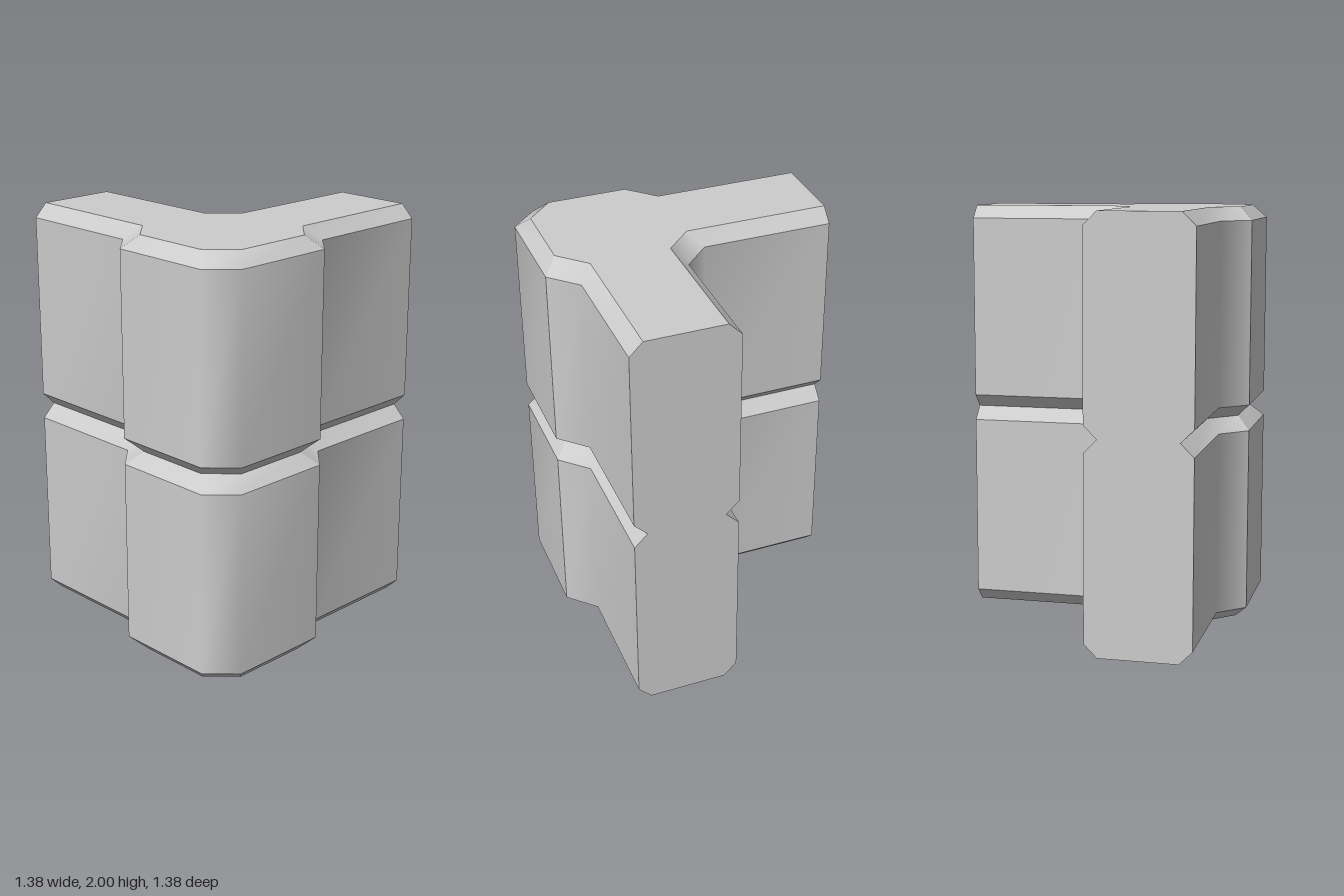
import * as THREE from 'three';
import { mergeGeometries } from 'three/addons/utils/BufferGeometryUtils.js';

// Plan corners as [outer x, outer z, inner x, inner z]; the inner ring is the bevelled edge.
// Each run is shaded smoothly along its length and creased where it meets the next.
const E = 0.6875, B = 0.0625, W = 0.5625;
const RUNS = {
  backArmSide: [[W, -E, 0.5, -E], [W, -B, 0.5, 0], [E, B, 0.625, 0.125]],
  cornerPost: [[E, B, 0.625, 0.125], [E, W, 0.625, 0.5], [W, E, 0.5, 0.625], [B, E, 0.125, 0.625]],
  sideArmFront: [[B, E, 0.125, 0.625], [-B, W, 0, 0.5], [-E, W, -E, 0.5]],
  sideArmEnd: [[-E, W, -E, 0.5], [-E, B, -E, 0.125]],
  innerCorner: [[-E, B, -E, 0.125], [-B, B, 0, 0.125], [B, -B, 0.125, 0], [B, -E, 0.125, -E]],
  backArmEnd: [[B, -E, 0.125, -E], [W, -E, 0.5, -E]],
};

// Heights of the profile: bevelled block, groove, bevelled block
const LEVELS = [[0, 'in'], [B, 'out'], [1 - B, 'out'], [1, 'in'], [1 + B, 'out'], [2 - B, 'out'], [2, 'in']];

// One horizontal band of wall between two levels
function band(run, [y0, ring0], [y1, ring1]) {
  const positions = [], index = [];
  run.forEach(([ox, oz, ix, iz], i) => {
    for (const [y, ring] of [[y0, ring0], [y1, ring1]]) {
      positions.push(ring === 'out' ? ox : ix, y, ring === 'out' ? oz : iz);
    }
    if (i < run.length - 1) {
      const a = i * 2;
      index.push(a, a + 1, a + 2, a + 1, a + 3, a + 2);
    }
  });
  const geometry = new THREE.BufferGeometry();
  geometry.setAttribute('position', new THREE.Float32BufferAttribute(positions, 3));
  geometry.setIndex(index);
  geometry.computeVertexNormals();
  return geometry;
}

// Flat cap over the inner ring, facing up (side = 1) or down (side = -1)
function cap(side) {
  const points = Object.values(RUNS).flatMap((run) => run.slice(0, -1))
    .map(([, , x, z]) => new THREE.Vector2(x, -side * z));
  return new THREE.ShapeGeometry(new THREE.Shape(points)).rotateX(-side * Math.PI / 2);
}

export function createModel() {
  const model = new THREE.Group();
  model.name = 'cornerWall';
  const material = new THREE.MeshStandardMaterial({ color: 0xcccccc });
  const add = (name, geometry, y = 0) => {
    const mesh = new THREE.Mesh(geometry, material);
    mesh.name = name;
    mesh.position.y = y;
    model.add(mesh);
  };

  // Walls, bevels and groove
  for (const [name, run] of Object.entries(RUNS)) {
    const bands = LEVELS.slice(1).map((level, i) => band(run, LEVELS[i], level));
    add(name, mergeGeometries(bands));
  }

  // Top and bottom
  add('top', cap(1), 2);
  add('bottom', cap(-1));
  return model;
}
